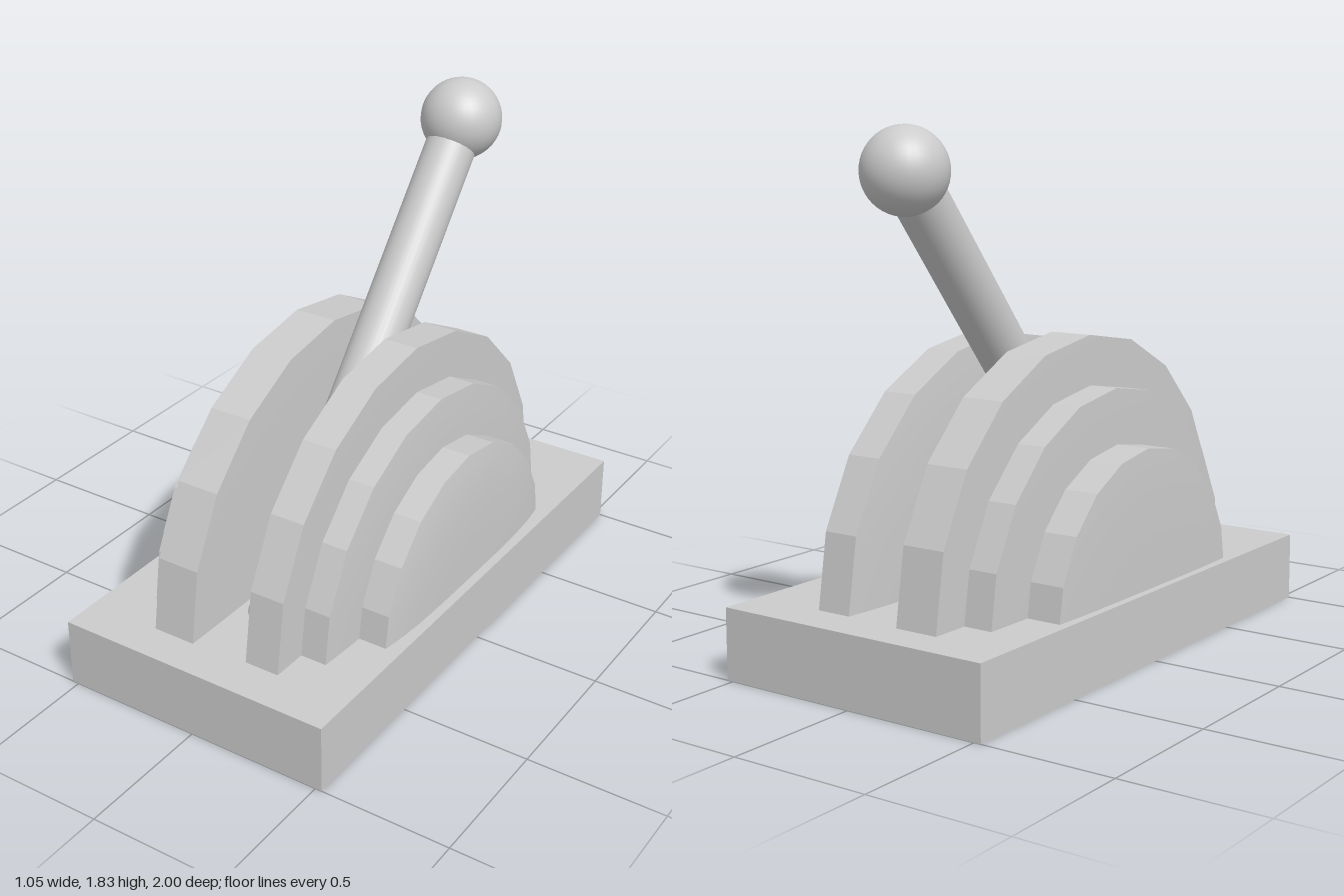
import * as THREE from 'three';
import { toCreasedNormals } from 'three/addons/utils/BufferGeometryUtils.js';

const material = new THREE.MeshStandardMaterial({ color: 0xcccccc });

function add(group, name, geometry) {
  const mesh = new THREE.Mesh(geometry, material);
  mesh.name = name;
  group.add(mesh);
  return mesh;
}

// Half disc standing on the base: faceted rim, slightly domed side faces
function halfDisc(radius, centreY, x0, x1, dome0, dome1) {
  const steps = [0, 0.4, 0.65, 0.82, 0.93, 1];
  const bulge = t => 1 - t ** 4;
  const profile = [
    ...steps.map(t => new THREE.Vector2(radius * t, x0 - dome0 * bulge(t))),
    ...[...steps].reverse().map(t => new THREE.Vector2(radius * t, x1 + dome1 * bulge(t))),
  ];
  const geometry = new THREE.LatheGeometry(profile, 10, Math.PI, Math.PI);
  geometry.rotateZ(-Math.PI / 2);
  geometry.translate(0, centreY, 0);
  return toCreasedNormals(geometry, THREE.MathUtils.degToRad(15));
}

export function createModel() {
  const model = new THREE.Group();
  model.name = 'leverControl';

  // Base slab
  add(model, 'base', new THREE.BoxGeometry(1.05, 0.25, 2).translate(0, 0.125, 0));

  // Stepped half discs on both sides of the lever slot
  const discs = [
    ['rightLargeDisc', 0.865, 0.245, -0.25, -0.09, 0.006, 0.006],
    ['rightMiddleDisc', 0.73, 0.205, -0.36, -0.24, 0.006, 0],
    ['rightSmallDisc', 0.54, 0.2, -0.49, -0.35, 0.008, 0],
    ['leftLargeDisc', 0.85, 0.245, 0.12, 0.25, 0.025, 0.005],
    ['leftMiddleDisc', 0.725, 0.2, 0.24, 0.35, 0, 0.018],
    ['leftSmallDisc', 0.54, 0.2, 0.34, 0.468, 0, 0.024],
  ];
  for (const [name, ...size] of discs) add(model, name, halfDisc(...size));

  // Tilted lever rod running from inside the base up into the knob
  const knobCentre = new THREE.Vector3(0.02, 1.682, -0.662);
  const foot = new THREE.Vector3(0.02, 0.12, 0.635);
  const axis = knobCentre.clone().sub(foot);
  const rod = add(model, 'leverRod', new THREE.CylinderGeometry(0.092, 0.092, axis.length(), 32));
  rod.position.copy(foot).addScaledVector(axis, 0.5);
  rod.quaternion.setFromUnitVectors(new THREE.Vector3(0, 1, 0), axis.normalize());

  // Ball knob
  add(model, 'leverKnob', new THREE.SphereGeometry(0.147, 32, 24)).position.copy(knobCentre);

  return model;
}
